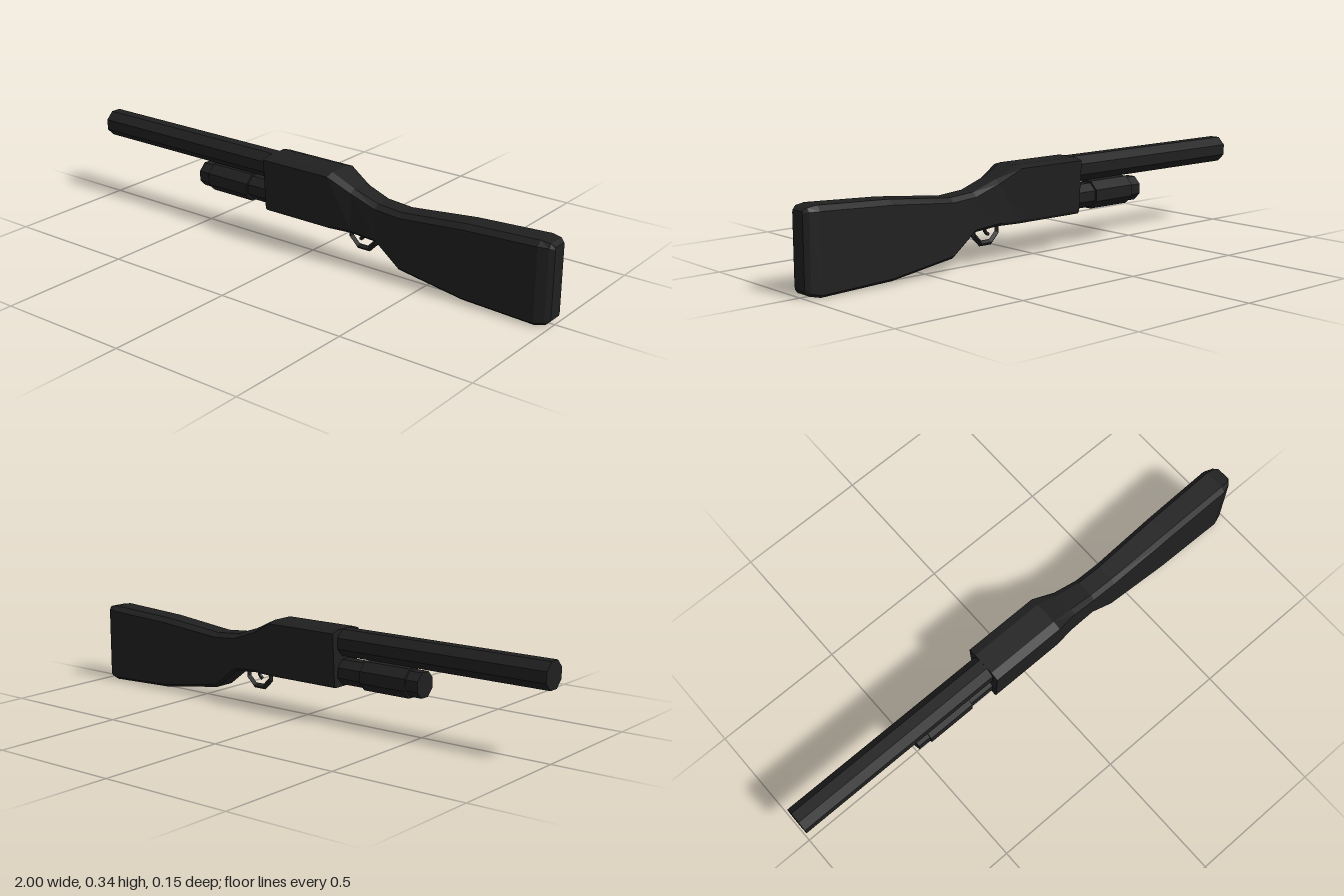
import * as THREE from 'three';

// Flat-shaded loft along x. Station: [x, bottom, top, topFlat, topHalf, lowHalf, bottomFlat, topChamfer]
function loft(stations) {
  const rings = stations.map(([x, yb, yt, t, w, b, f, c]) => [
    [yt, -t], [yt, t], [yt - c, w], [yb + 0.01, b],
    [yb, f], [yb, -f], [yb + 0.01, -b], [yt - c, -w],
  ].map(([y, z]) => [x, y, z]));
  const pos = [];
  const tri = (a, b, c) => pos.push(...a, ...b, ...c);
  for (let i = 0; i < rings.length - 1; i++) {
    for (let j = 0; j < 8; j++) {
      const k = (j + 1) % 8, p = rings[i], q = rings[i + 1];
      tri(p[j], p[k], q[k]);
      tri(p[j], q[k], q[j]);
    }
  }
  const first = rings[0], last = rings[rings.length - 1];
  for (let j = 1; j < 7; j++) {
    tri(first[0], first[j + 1], first[j]);
    tri(last[0], last[j], last[j + 1]);
  }
  const g = new THREE.BufferGeometry();
  g.setAttribute('position', new THREE.Float32BufferAttribute(pos, 3));
  g.computeVertexNormals();
  return g;
}

// Octagonal rod along x with flat top, given its across-flats half size
function rod(x0, x1, y, half) {
  const g = new THREE.CylinderGeometry(half / Math.cos(Math.PI / 8), half / Math.cos(Math.PI / 8), x1 - x0, 8);
  g.rotateY(Math.PI / 8);
  g.rotateZ(Math.PI / 2);
  g.translate((x0 + x1) / 2, y, 0);
  return g;
}

export function createModel() {
  const group = new THREE.Group();
  const black = new THREE.MeshStandardMaterial({ color: 0x202020, flatShading: true });
  black.name = 'matte black';
  const add = (name, geometry) => {
    const mesh = new THREE.Mesh(geometry, black);
    mesh.name = name;
    group.add(mesh);
    return mesh;
  };

  // Receiver flowing through the wrist into the stock
  add('receiverAndStock', loft([
    [-0.17, 0.137, 0.345, 0.043, 0.075, 0.063, 0.057, 0.01],
    [0.12, 0.137, 0.345, 0.043, 0.075, 0.063, 0.057, 0.01],
    [0.21, 0.137, 0.302, 0.035, 0.056, 0.054, 0.045, 0.014],
    [0.31, 0.128, 0.268, 0.032, 0.05, 0.05, 0.04, 0.016],
    [0.41, 0.05, 0.26, 0.032, 0.05, 0.05, 0.04, 0.016],
    [0.67, 0.012, 0.286, 0.036, 0.054, 0.054, 0.042, 0.018],
    [0.95, 0.002, 0.3, 0.038, 0.056, 0.056, 0.043, 0.018],
    [0.985, 0.01, 0.295, 0.034, 0.044, 0.044, 0.036, 0.014],
    [1.0, 0.025, 0.284, 0.026, 0.029, 0.029, 0.026, 0.008],
  ]));

  // Barrel, magazine tube and sliding fore-end
  add('barrel', rod(-1, -0.16, 0.296, 0.048));
  add('magazineTube', rod(-0.51, -0.16, 0.19, 0.045));
  add('foreEnd', rod(-0.46, -0.27, 0.19, 0.052));

  // Trigger guard ring
  const guard = new THREE.TorusGeometry(0.058, 0.011, 4, 8);
  guard.rotateZ(Math.PI / 8);
  guard.translate(0.23, 0.128, 0);
  add('triggerGuard', guard);

  // Curved trigger
  const curve = new THREE.CatmullRomCurve3([
    [0.225, 0.145], [0.232, 0.125], [0.228, 0.112], [0.215, 0.103],
  ].map(([x, y]) => new THREE.Vector3(x, y, 0)));
  add('trigger', new THREE.TubeGeometry(curve, 5, 0.007, 5));

  return group;
}
